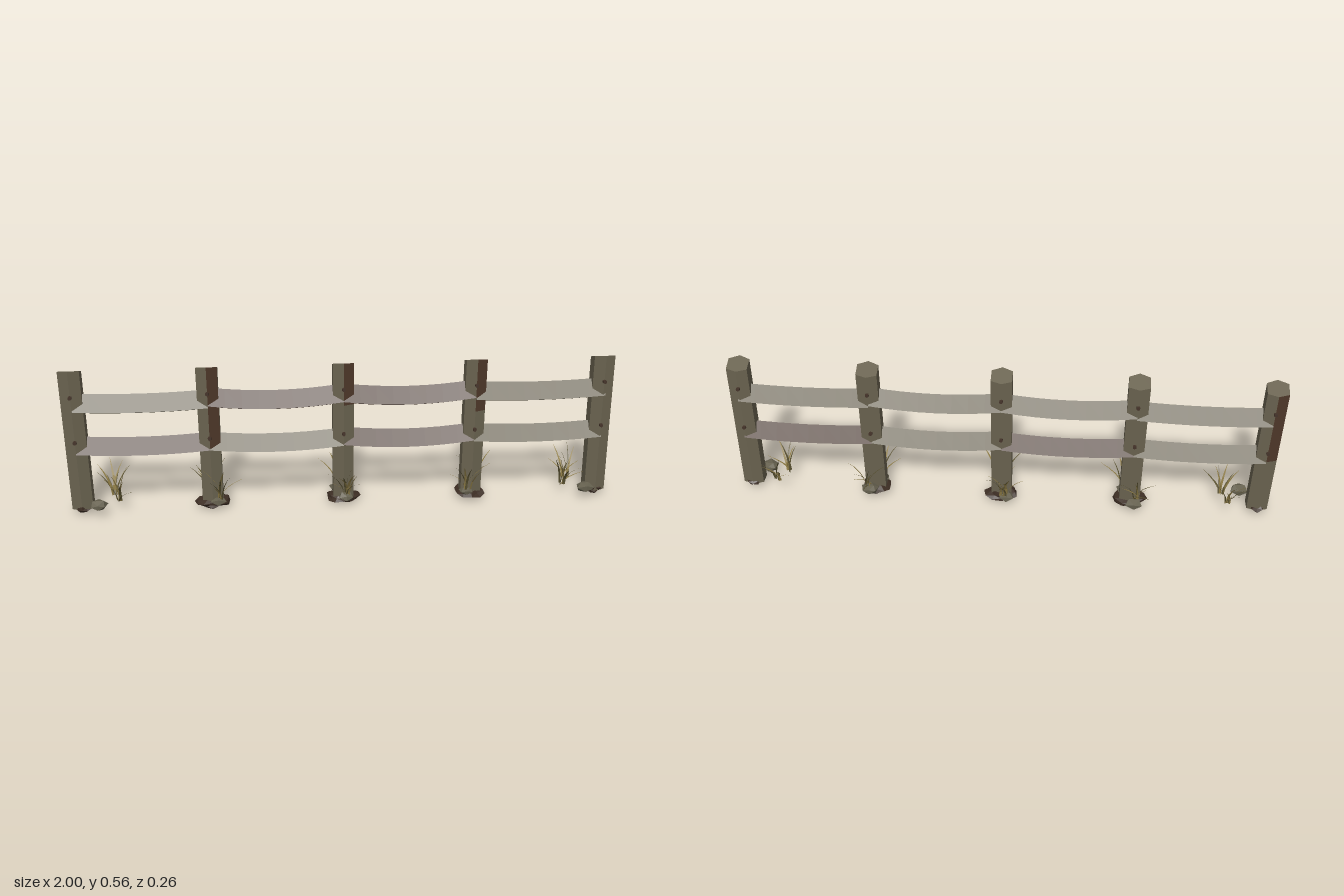
import * as THREE from 'three';

const mat = (name, color) => Object.assign(new THREE.MeshStandardMaterial({ color, flatShading: true }), { name });
const greyWood = mat('greyWood', 0x69624f);
const brownWood = mat('brownWood', 0x4d3729);
const soil = mat('darkSoil', 0x3d2e24);
const stone = mat('stone', 0x66614f);
const iron = mat('rustyIron', 0x45342a);
const straw = mat('strawGrass', 0x8f7d46);
const olive = mat('oliveGrass', 0x5c5433);
straw.side = olive.side = THREE.DoubleSide;

let seed = 7;
const rand = (a, b) => {
  seed = (seed * 16807) % 2147483647;
  return a + (b - a) * (seed / 2147483647);
};

// Flat-sided solid through cross-section rings; colourOf(level, side) returns 0 (grey) or 1 (brown)
function loft(name, rings, colourOf) {
  const tris = [[], []];
  const add = (c, ...pts) => pts.forEach((p) => tris[c].push(...p));
  const n = rings[0].length;
  for (let l = 0; l < rings.length - 1; l++) {
    for (let i = 0; i < n; i++) {
      const j = (i + 1) % n, c = colourOf(l, i);
      const [r, s] = [rings[l], rings[l + 1]];
      add(c, r[i], r[j], s[j], r[i], s[j], s[i]);
    }
  }
  const last = rings[rings.length - 1];
  for (let i = 1; i < n - 1; i++) {
    add(0, rings[0][0], rings[0][i + 1], rings[0][i]);
    add(0, last[0], last[i], last[i + 1]);
  }
  const geo = new THREE.BufferGeometry();
  geo.setAttribute('position', new THREE.Float32BufferAttribute([...tris[0], ...tris[1]], 3));
  geo.addGroup(0, tris[0].length / 3, 0);
  geo.addGroup(tris[0].length / 3, tris[1].length / 3, 1);
  geo.computeVertexNormals();
  const mesh = new THREE.Mesh(geo, [greyWood, brownWood]);
  mesh.name = name;
  return mesh;
}

// Six-sided post with ridges front and back and a top sloping to the back
function makePost(x, lean, split, brownSides) {
  const section = [[0, 0.046], [0.038, 0.031], [0.038, -0.013], [0, -0.024], [-0.038, -0.013], [-0.038, 0.031]];
  const ring = (y, slope, dx) => section.map(([px, z]) => [x + px + dx, y + slope * z, z]);
  const rings = [ring(0.018, 0, 0), ring(split, 0, lean * split), ring(0.545, 0.36, lean * 0.55)];
  return loft('post', rings, (level, side) => (level === 1 && brownSides.includes(side) ? 1 : 0));
}

// Sagging split rail, kite-shaped in section
function makeRail(x0, x1, y, sag, frontBrown, backBrown) {
  const section = [[0.036, 0.011], [-0.022, 0.048], [-0.038, 0.011], [-0.022, -0.027]];
  const rings = [];
  for (let i = 0; i <= 8; i++) {
    const t = i / 8;
    const dy = y - sag * 4 * t * (1 - t);
    rings.push(section.map(([py, z]) => [x0 + (x1 - x0) * t, py + dy, z]));
  }
  return loft('rail', rings, (level, side) => (side < 2 ? frontBrown : backBrown));
}

// Rough lump, shaken by a rule that keeps shared corners together
function makeLump(name, material, x, y, z, rx, ry, rz, detail) {
  const geo = new THREE.IcosahedronGeometry(1, detail);
  const p = geo.attributes.position, v = new THREE.Vector3(), k = x * 9 + z * 31;
  for (let i = 0; i < p.count; i++) {
    v.fromBufferAttribute(p, i);
    v.multiplyScalar(0.9 + 0.16 * Math.sin(v.x * 7 + v.y * 5 + v.z * 9 + k));
    p.setXYZ(i, v.x * rx, Math.max(v.y * ry, -y), v.z * rz);
  }
  geo.computeVertexNormals();
  const mesh = new THREE.Mesh(geo, material);
  mesh.name = name;
  mesh.position.set(x, y, z);
  return mesh;
}

// Curved, tapering blade of grass
function makeBlade(x, z, angle, reach, height, width, material) {
  const geo = new THREE.PlaneGeometry(1, 1, 1, 4);
  const p = geo.attributes.position;
  for (let i = 0; i < p.count; i++) {
    const t = p.getY(i) + 0.5;
    const w = width * (1 - t * t) + 0.0004;
    p.setXYZ(i, p.getX(i) * w, height * (t - 0.2 * t * t) / 0.8, reach * t ** 1.6);
  }
  geo.computeVertexNormals();
  const mesh = new THREE.Mesh(geo, material);
  mesh.name = 'grassBlade';
  mesh.position.set(x, 0.045, z);
  mesh.rotation.y = angle;
  return mesh;
}

// Tuft fanning out towards side (+1 front, -1 back)
function makeTuft(x, z, side, count) {
  const tuft = new THREE.Group();
  tuft.name = 'grassTuft';
  for (let i = 0; i < count; i++) {
    const spread = -1.35 + (2.7 * i) / (count - 1) + rand(-0.15, 0.15);
    const angle = (side > 0 ? 0 : Math.PI) + spread;
    tuft.add(makeBlade(x + rand(-0.012, 0.012), z + rand(-0.008, 0.008), angle,
      rand(0.03, 0.095), rand(0.055, 0.13), rand(0.007, 0.011), i % 2 ? olive : straw));
  }
  return tuft;
}

export function createModel() {
  const fence = new THREE.Group();
  fence.name = 'fence';
  const postX = [-0.962, -0.485, 0, 0.482, 0.962];
  const leans = [0, 0, 0, 0, -0.02];
  const splits = [0.25, 0.25, 0.4, 0.36, 0.3];
  const brownSides = [[3, 4], [0], [0], [0], []];

  postX.forEach((x, i) => {
    fence.add(makePost(x, leans[i], splits[i], brownSides[i]));

    // Bolts through the post
    for (const y of [0.463, 0.291]) {
      const bolt = new THREE.Mesh(new THREE.CylinderGeometry(0.007, 0.007, 0.088, 6), iron);
      bolt.name = 'bolt';
      bolt.rotation.x = Math.PI / 2;
      bolt.position.set(x + leans[i] * y, y, 0.0115);
      fence.add(bolt);
    }

    // Earth around the foot
    const end = i === 0 || i === 4;
    fence.add(makeLump('earthMound', soil, x, 0.02, 0.008, end ? 0.036 : 0.066, 0.021, end ? 0.045 : 0.056, 1));
  });

  // Rails: height, sag, brown on front, brown on back
  const topRails = [[0.43, 0.008, 1 - 1, 0], [0.437, 0.017, 1, 0], [0.437, 0.017, 1, 0], [0.43, 0.008, 0, 0]];
  const lowRails = [[0.265, 0.01, 1, 0], [0.265, 0.014, 0, 1], [0.268, 0.016, 1, 0], [0.265, 0.01, 0, 1]];
  for (const row of [topRails, lowRails]) {
    row.forEach((r, i) => fence.add(makeRail(postX[i], postX[i + 1], ...r)));
  }

  // Loose stones: x, y, z, radius
  const stones = [
    [-0.9, 0.045, 0.065, 0.034], [-0.5, 0.04, -0.045, 0.032], [-0.465, 0.035, 0.035, 0.03], [0.01, 0.035, 0.045, 0.03],
    [-0.02, 0.035, -0.035, 0.03], [0.5, 0.045, -0.05, 0.034], [0.465, 0.035, 0.04, 0.028], [0.915, 0.045, 0.055, 0.034],
  ];
  for (const [x, y, z, r] of stones) fence.add(makeLump('stone', stone, x, y, z, r * 1.1, r * 0.65, r, 0));

  // Grass: x, z, side, blades
  const tufts = [
    [-0.85, -0.025, -1, 8], [-0.825, 0.03, 1, 7], [-0.51, -0.03, -1, 8], [-0.46, 0.045, 1, 7],
    [-0.01, -0.045, -1, 11], [0.01, 0.045, 1, 8], [0.51, -0.035, -1, 8], [0.47, 0.045, 1, 7],
    [0.86, -0.025, -1, 8], [0.83, 0.03, 1, 7],
  ];
  for (const t of tufts) fence.add(makeTuft(...t));
  return fence;
}
